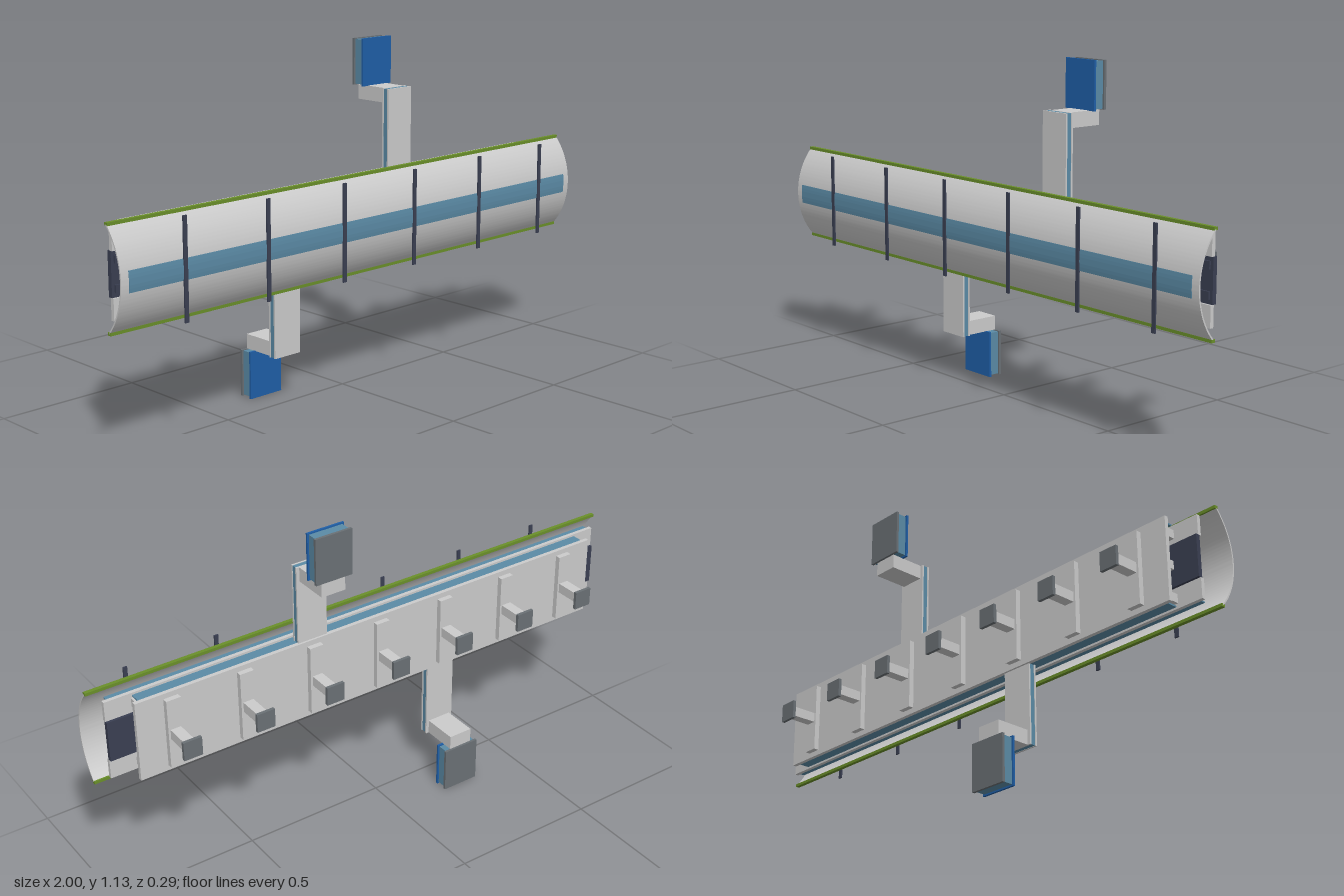
import * as THREE from 'three';
import { toCreasedNormals } from 'three/addons/utils/BufferGeometryUtils.js';

const MID = 0.567; // height of the long axis
const material = (color) => new THREE.MeshStandardMaterial({ color });
const grey = material(0xcccccc);
const steel = material(0x5b8ba6);
const blue = material(0x1f5fa8);
const dark = material(0x6a7075);
const navy = material(0x3a3f52);
const green = material(0x6a8f2a);

// Box given by its limits on each axis
function box(parent, name, mat, [x0, x1], [y0, y1], [z0, z1]) {
  const mesh = new THREE.Mesh(new THREE.BoxGeometry(x1 - x0, y1 - y0, z1 - z0), mat);
  mesh.position.set((x0 + x1) / 2, (y0 + y1) / 2, (z0 + z1) / 2);
  mesh.name = name;
  parent.add(mesh);
  return mesh;
}

// Thin curved sheet running along x, bulging to the front
function curvedSheet(parent, name, mat, inner, outer, halfAngle, length) {
  const shape = new THREE.Shape();
  shape.absarc(0.097, 0, outer, Math.PI - halfAngle, Math.PI + halfAngle, false);
  shape.absarc(0.097, 0, inner, Math.PI + halfAngle, Math.PI - halfAngle, true);
  shape.closePath();
  let geometry = new THREE.ExtrudeGeometry(shape, { depth: length, bevelEnabled: false, curveSegments: 32 });
  geometry.translate(0, 0, -length / 2);
  geometry.rotateY(Math.PI / 2);
  geometry = toCreasedNormals(geometry, 0.5);
  const mesh = new THREE.Mesh(geometry, mat);
  mesh.position.y = MID;
  mesh.name = name;
  parent.add(mesh);
}

// Arm with bracket and mounting pad; dir is +1 for up, -1 for down
function mountArm(dir) {
  const arm = new THREE.Group();
  arm.name = dir > 0 ? 'upperArm' : 'lowerArm';
  const x = dir * 0.255;
  const wide = (half) => [x - half, x + half];
  const tall = (a, b) => (dir > 0 ? [MID + a, MID + b] : [MID - b, MID - a]);
  box(arm, 'armFrontPlate', grey, wide(0.054), tall(0.13, 0.408), [0.005, 0.011]);
  box(arm, 'armCore', steel, wide(0.052), tall(0.13, 0.407), [-0.012, 0.005]);
  box(arm, 'armBackPlate', grey, wide(0.054), tall(0.13, 0.408), [-0.018, -0.012]);
  box(arm, 'bracket', grey, wide(0.043), tall(0.359, 0.408), [-0.14, -0.018]);
  box(arm, 'padFront', blue, wide(0.066), tall(0.407, 0.567), [-0.103, -0.096]);
  box(arm, 'padCore', steel, wide(0.06), tall(0.412, 0.562), [-0.138, -0.103]);
  box(arm, 'padBack', dark, wide(0.066), tall(0.409, 0.565), [-0.147, -0.138]);
  return arm;
}

export function createModel() {
  const model = new THREE.Group();
  model.name = 'curvedPanelAssembly';

  // Curved front shield with its centre band
  curvedSheet(model, 'shield', grey, 0.235, 0.24, 0.735, 2);
  curvedSheet(model, 'shieldBand', steel, 0.239, 0.2415, 0.137, 1.945);

  // Upright bars in front of the shield
  for (let i = 0; i < 6; i++) {
    const x = -0.77 + i * 0.32;
    box(model, 'shieldBar', navy, [x - 0.007, x + 0.007], [0.406, 0.728], [0.142, 0.147]);
  }

  // Parts mirrored above and below the long axis
  for (const s of [1, -1]) {
    const span = (a, b) => (s > 0 ? [MID + a, MID + b] : [MID - b, MID - a]);
    box(model, 'edgeRail', green, [-1, 1], span(0.156, 0.166), [0.073, 0.086]);
    box(model, 'innerStrip', grey, [-0.96, 0.96], span(0.07, 0.138), [0.037, 0.05]);
    box(model, 'frontFlange', steel, [-0.945, 0.945], span(0.134, 0.138), [0.05, 0.066]);
    box(model, 'rearFlange', steel, [-0.87, 0.87], span(0.132, 0.137), [-0.012, 0.028]);
    box(model, 'spacerBeam', grey, [-0.87, 0.87], span(0.092, 0.121), [-0.012, 0.037]);
    box(model, 'cableRail', navy, [-0.95, 0.95], span(0.032, 0.056), [0.043, 0.049]);
  }

  // Inner core and back panel
  box(model, 'corePanel', navy, [-0.96, 0.96], [MID - 0.07, MID + 0.07], [0.028, 0.043]);
  box(model, 'middleBeam', grey, [-0.87, 0.87], [MID - 0.014, MID + 0.014], [-0.012, 0.028]);
  box(model, 'backPanel', grey, [-0.89, 0.89], [MID - 0.139, MID + 0.139], [-0.025, -0.011]);

  // Row of rear ribs, each with a peg and a foot pad
  for (let i = -3; i <= 3; i++) {
    const x = i * 0.2565;
    const wide = (half) => [x - half, x + half];
    box(model, 'rearRib', grey, wide(0.025), [MID - 0.121, MID + 0.121], [-0.043, -0.025]);
    box(model, 'peg', grey, wide(0.018), [MID - 0.017, MID + 0.017], [-0.136, -0.043]);
    box(model, 'pegPad', dark, wide(0.032), [MID - 0.032, MID + 0.032], [-0.147, -0.136]);
  }

  model.add(mountArm(1), mountArm(-1));
  return model;
}
